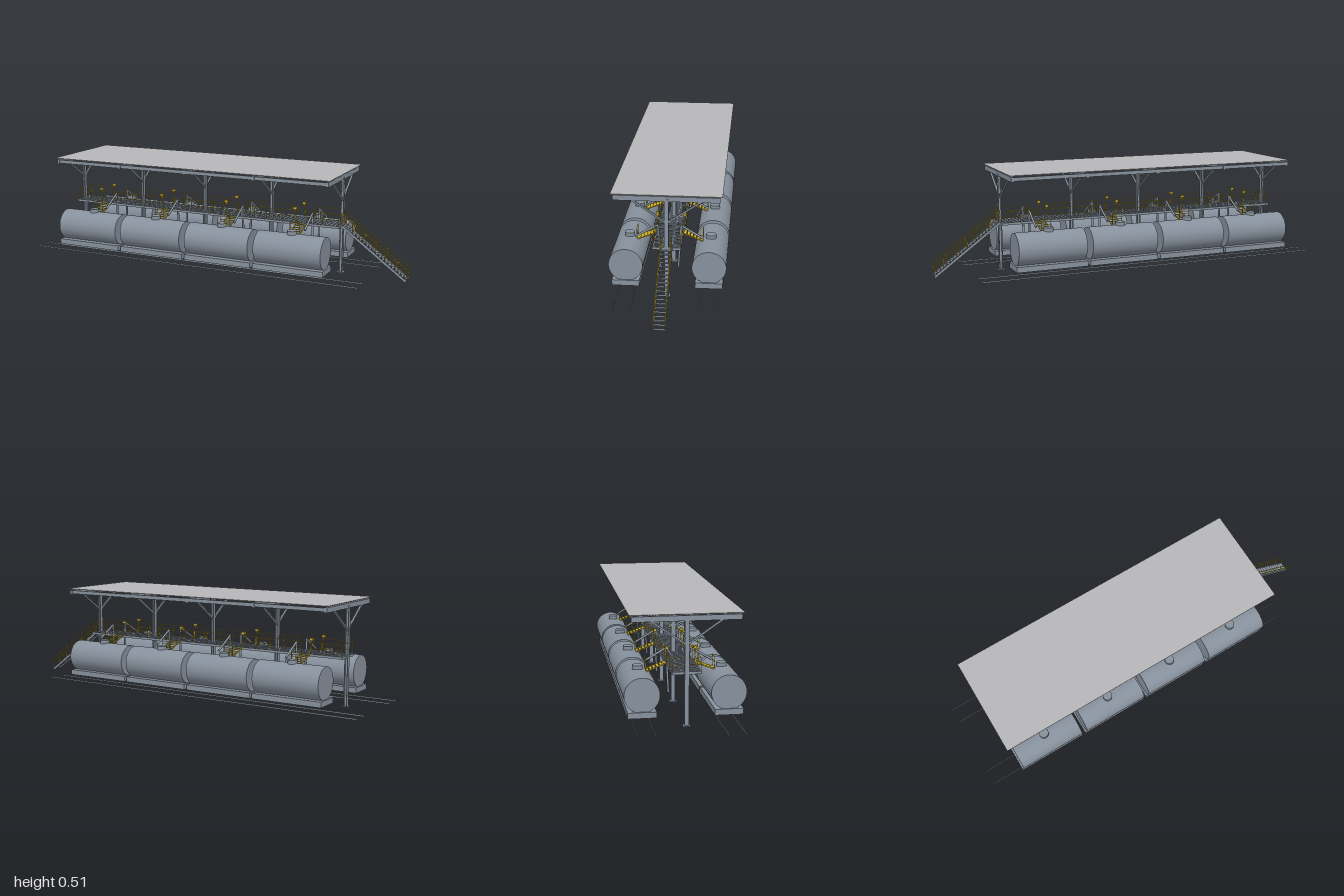
import * as THREE from 'three';

const mat = (name, color) => {
  const m = new THREE.MeshStandardMaterial({ color });
  m.name = name;
  return m;
};

export function createModel() {
  const steel = mat('blue grey steel', 0x87919d);
  const sheet = mat('pale roof sheet', 0xb7b7b9);
  const yellow = mat('safety yellow', 0xd2b52c);
  const root = new THREE.Group();
  root.name = 'tankLoadingStation';

  const group = (name, parent = root) => {
    const g = new THREE.Group();
    g.name = name;
    parent.add(g);
    return g;
  };
  const add = (parent, name, geo, m, x = 0, y = 0, z = 0) => {
    const mesh = new THREE.Mesh(geo, m);
    mesh.name = name;
    mesh.position.set(x, y, z);
    parent.add(mesh);
    return mesh;
  };
  const box = (parent, name, m, w, h, d, x, y, z) =>
    add(parent, name, new THREE.BoxGeometry(w, h, d), m, x, y, z);
  // Straight bar between two points: square section, or round when sides is given
  const bar = (parent, name, m, a, b, w, h = w, sides = 0) => {
    const p = new THREE.Vector3(...a), q = new THREE.Vector3(...b);
    const len = p.distanceTo(q);
    const geo = sides
      ? new THREE.CylinderGeometry(w / 2, w / 2, len, sides).rotateX(Math.PI / 2)
      : new THREE.BoxGeometry(w, h, len);
    const mesh = add(parent, name, geo, m);
    mesh.position.copy(p).add(q).multiplyScalar(0.5);
    mesh.lookAt(q);
    return mesh;
  };

  const columnsX = [0, 1, 2, 3, 4].map((i) => -0.84 + i * 0.375);
  const baysX = [0, 1, 2, 3].map((i) => -0.653 + i * 0.375);

  // Canopy: sheet, purlins and T-shaped frames with braces
  const canopy = group('canopy');
  box(canopy, 'roofSheet', sheet, 1.53, 0.003, 0.505, -0.09, 0.51, 0);
  for (const z of [-0.235, 0, 0.235]) {
    box(canopy, 'purlin', steel, 1.5, 0.018, 0.01, -0.09, 0.492, z);
  }
  for (const x of columnsX) {
    const frame = group('frame', canopy);
    for (const s of [-1, 1]) {
      box(frame, 'columnFlange', steel, 0.003, 0.483, 0.02, x + s * 0.007, 0.248, 0);
      bar(frame, 'brace', steel, [x, 0.373, 0], [x, 0.483, s * 0.16], 0.01, 0.008);
    }
    box(frame, 'columnWeb', steel, 0.012, 0.483, 0.004, x, 0.248, 0);
    box(frame, 'crossBeam', steel, 0.014, 0.024, 0.485, x, 0.491, 0);
    box(frame, 'basePlate', steel, 0.034, 0.004, 0.034, x, 0.008, 0);
  }

  // Rails on the ground, two per track
  const tracks = group('tracks');
  for (const s of [-1, 1]) for (const z of [0.155, 0.233]) {
    box(tracks, 'rail', steel, 1.82, 0.007, 0.004, -0.09, 0.0105, s * z);
  }

  // Central walkway with slatted deck
  const walkway = group('walkway');
  for (const z of [-0.0635, -0.022, 0.022, 0.0635]) {
    box(walkway, 'deckBeam', steel, 1.51, 0.012, 0.004, -0.09, 0.248, z);
  }
  for (let i = 0; i <= 75; i++) {
    box(walkway, 'deckSlat', steel, 0.011, 0.003, 0.126, -0.84 + i * 0.02, 0.252, 0);
  }
  for (const x of columnsX) box(walkway, 'deckBracket', steel, 0.01, 0.01, 0.126, x, 0.246, 0);

  // Guard rails, open where the gangways start
  const guard = group('guardRails');
  for (const s of [-1, 1]) {
    const z = s * 0.064;
    const cuts = [-0.84, ...baysX.flatMap((x) => [x - 0.03, x + 0.03]), 0.66];
    for (let i = 0; i < cuts.length; i += 2) {
      const a = cuts[i], b = cuts[i + 1];
      for (const y of [0.283, 0.312]) bar(guard, 'guardRail', yellow, [a, y, z], [b, y, z], 0.002);
      const n = Math.round((b - a) / 0.08);
      for (let k = 0; k <= n; k++) {
        box(guard, 'guardPost', yellow, 0.0025, 0.06, 0.0025, a + ((b - a) * k) / n, 0.283, z);
      }
    }
  }
  for (const y of [0.283, 0.312]) {
    bar(guard, 'endRail', yellow, [-0.84, y, -0.064], [-0.84, y, 0.064], 0.002);
  }

  // Tank wagons, loading arms and folding gangways, mirrored on both sides
  for (const s of [-1, 1]) for (const x of baysX) {
    const wagon = group('tankWagon');
    const zt = s * 0.194;
    add(wagon, 'tank', new THREE.CylinderGeometry(0.08, 0.08, 0.345, 48).rotateZ(Math.PI / 2),
      steel, x, 0.147, zt);
    add(wagon, 'hatchDome', new THREE.CylinderGeometry(0.024, 0.024, 0.03, 24), steel, x, 0.228, zt);
    box(wagon, 'underframe', steel, 0.362, 0.027, 0.129, x, 0.06, zt);

    const arm = group('loadingArm');
    const xa = x + 0.053;
    bar(arm, 'armPipe', steel, [xa, 0.306, s * 0.052], [xa, 0.242, s * 0.161], 0.011, 0.011, 10);
    bar(arm, 'dropPipe', steel, [xa, 0.309, s * 0.055], [xa, 0.093, s * 0.043], 0.011, 0.011, 10);

    const gangway = group('gangway');
    for (const dx of [-0.025, 0.025]) {
      bar(gangway, 'stringer', yellow, [x + dx, 0.252, s * 0.064], [x + dx, 0.216, s * 0.157], 0.003, 0.005);
      bar(gangway, 'endPost', yellow, [x + dx, 0.215, s * 0.157], [x + dx, 0.275, s * 0.157], 0.0025);
    }
    for (let k = 0; k < 6; k++) {
      const t = (k + 0.5) / 6;
      box(gangway, 'tread', yellow, 0.05, 0.002, 0.0135, x, 0.252 - t * 0.036, s * (0.064 + t * 0.093));
    }
    for (const y of [0.25, 0.274]) {
      bar(gangway, 'endRail', yellow, [x - 0.025, y, s * 0.157], [x + 0.025, y, s * 0.157], 0.0025);
    }
    // Counterweight on its lever
    bar(gangway, 'lever', yellow, [x - 0.022, 0.252, s * 0.065], [x - 0.034, 0.32, s * 0.065], 0.003);
    box(gangway, 'counterweight', yellow, 0.016, 0.012, 0.015, x - 0.034, 0.325, s * 0.065);
  }

  // Access stair at the left end
  const stair = group('accessStair');
  const top = [0.667, 0.248], foot = [0.996, 0.006];
  const lerp = (t) => [top[0] + (foot[0] - top[0]) * t, top[1] + (foot[1] - top[1]) * t];
  for (const z of [-0.025, 0.025]) {
    bar(stair, 'stairStringer', steel, [...top, z], [...foot, z], 0.004, 0.012);
    for (const h of [0.033, 0.065]) {
      bar(stair, 'stairHandrail', yellow, [top[0], top[1] + h, z], [foot[0], foot[1] + h, z], 0.003);
    }
    for (let k = 0; k <= 6; k++) {
      const [x, y] = lerp(k / 6);
      box(stair, 'stairPost', yellow, 0.003, 0.065, 0.003, x, y + 0.0325, z);
    }
  }
  for (let k = 0; k < 20; k++) {
    const [x, y] = lerp((k + 0.5) / 20);
    box(stair, 'stairTread', steel, 0.013, 0.003, 0.048, x, y, 0);
  }
  return root;
}
